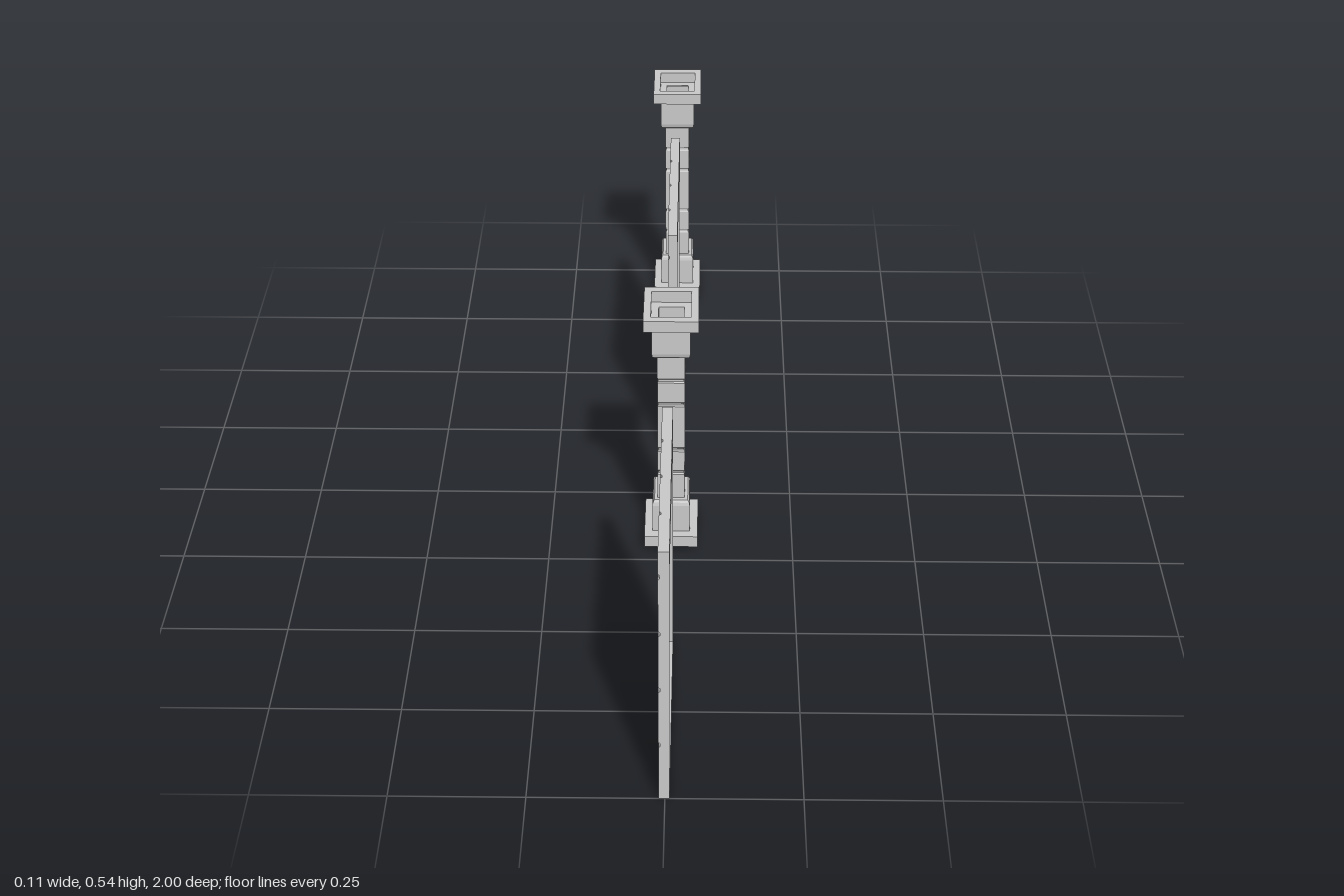
import * as THREE from 'three';

const material = new THREE.MeshStandardMaterial({ color: 0xcccccc, flatShading: true, side: THREE.DoubleSide });

function flatMesh(geometry, name) {
  const g = geometry.toNonIndexed();
  g.computeVertexNormals();
  const mesh = new THREE.Mesh(g, material);
  mesh.name = name;
  return mesh;
}

// Rectangular ring shell: a four-sided lathe of [half width, y] points, deeper in z than in x
function squareLathe(profile, name) {
  const points = profile.map(([r, y]) => new THREE.Vector2(r * Math.SQRT2, y));
  const g = new THREE.LatheGeometry(points, 4);
  g.rotateY(Math.PI / 4);
  g.scale(1, 1, 1.29);
  return flatMesh(g, name);
}

const SLAB = 0.0548, BLOCK = 0.0385, SHAFT = 0.0277, BORE = 0.0255;

function createPillar() {
  const pillar = new THREE.Group();

  // Shaft with shallow joints between its stones and an open bore
  const shaft = [[SHAFT, 0.1]];
  for (const y of [0.165, 0.22, 0.327, 0.382]) {
    shaft.push([SHAFT, y - 0.005], [SHAFT - 0.0017, y - 0.002], [SHAFT - 0.0017, y + 0.002], [SHAFT, y + 0.005]);
  }
  shaft.push([SHAFT, 0.442]);
  pillar.add(squareLathe(shaft, 'shaft'));
  pillar.add(squareLathe([[BORE, 0.513], [BORE, 0.03]], 'bore'));

  // Base block and capital share one profile, mirrored about the middle height
  const middle = 0.2717;
  for (const [end, s] of [['base', 1], ['capital', -1]]) {
    const at = (y) => (s > 0 ? y : 2 * middle - y);
    const block = [[BLOCK, 0.03], [BLOCK, 0.092], [0.0372, 0.099], [0.034, 0.1035], [SHAFT - 0.001, 0.1035]];
    const slab = [[BORE, 0.03], [0.04, 0.03], [0.04, 0.0055], [SLAB, 0.0055], [SLAB, 0.0305], [BLOCK - 0.001, 0.0305]];
    for (const [part, profile] of [['Block', block], ['Slab', slab]]) {
      const placed = profile.map(([r, y]) => [r, at(y)]);
      if (s < 0) placed.reverse();
      pillar.add(squareLathe(placed, end + part));
    }
  }
  return pillar;
}

const BACK = -0.0115, FRONT = 0.0085, HALF = 0.2355, HEIGHT = 0.537;

// Grid lines along one direction: the folded rim, then four lines for each groove
function gridLines(start, end, grooves) {
  const lines = [{ p: start, x: FRONT }, { p: start, x: BACK }];
  for (const g of grooves) {
    for (const [d, depth] of [[-0.006, 0], [-0.003, 0.0035], [0.003, 0.0035], [0.006, 0]]) {
      lines.push({ p: g + d, x: BACK + depth });
    }
  }
  lines.push({ p: end, x: BACK }, { p: end, x: FRONT });
  return lines;
}

function createPanel() {
  const panel = new THREE.Group();

  // Tiled sheet with its rim folded forward, open on the +x side
  const zs = gridLines(-HALF, HALF, [-0.118, 0, 0.118]);
  const ys = gridLines(0, HEIGHT, [0.122, 0.244, 0.365, 0.485]).reverse();
  const g = new THREE.PlaneGeometry(1, 1, zs.length - 1, ys.length - 1);
  ys.forEach((row, j) => zs.forEach((col, i) => {
    g.attributes.position.setXYZ(j * zs.length + i, Math.max(row.x, col.x), row.p, col.p);
  }));
  panel.add(flatMesh(g, 'tiledSheet'));

  // Plain band closing the top of the open side
  const band = new THREE.PlaneGeometry(HALF * 2, 0.052);
  band.rotateY(Math.PI / 2);
  band.translate(FRONT, HEIGHT - 0.026, 0);
  panel.add(flatMesh(band, 'topBand'));
  return panel;
}

export function createModel() {
  const model = new THREE.Group();
  const place = (part, name, z) => {
    part.name = name;
    part.position.z = z;
    model.add(part);
  };
  place(createPanel(), 'frontPanel', 0.7645);
  place(createPillar(), 'frontPillar', 0.14);
  place(createPanel(), 'rearPanel', -0.39);
  place(createPillar(), 'rearPillar', -0.9293);
  return model;
}
